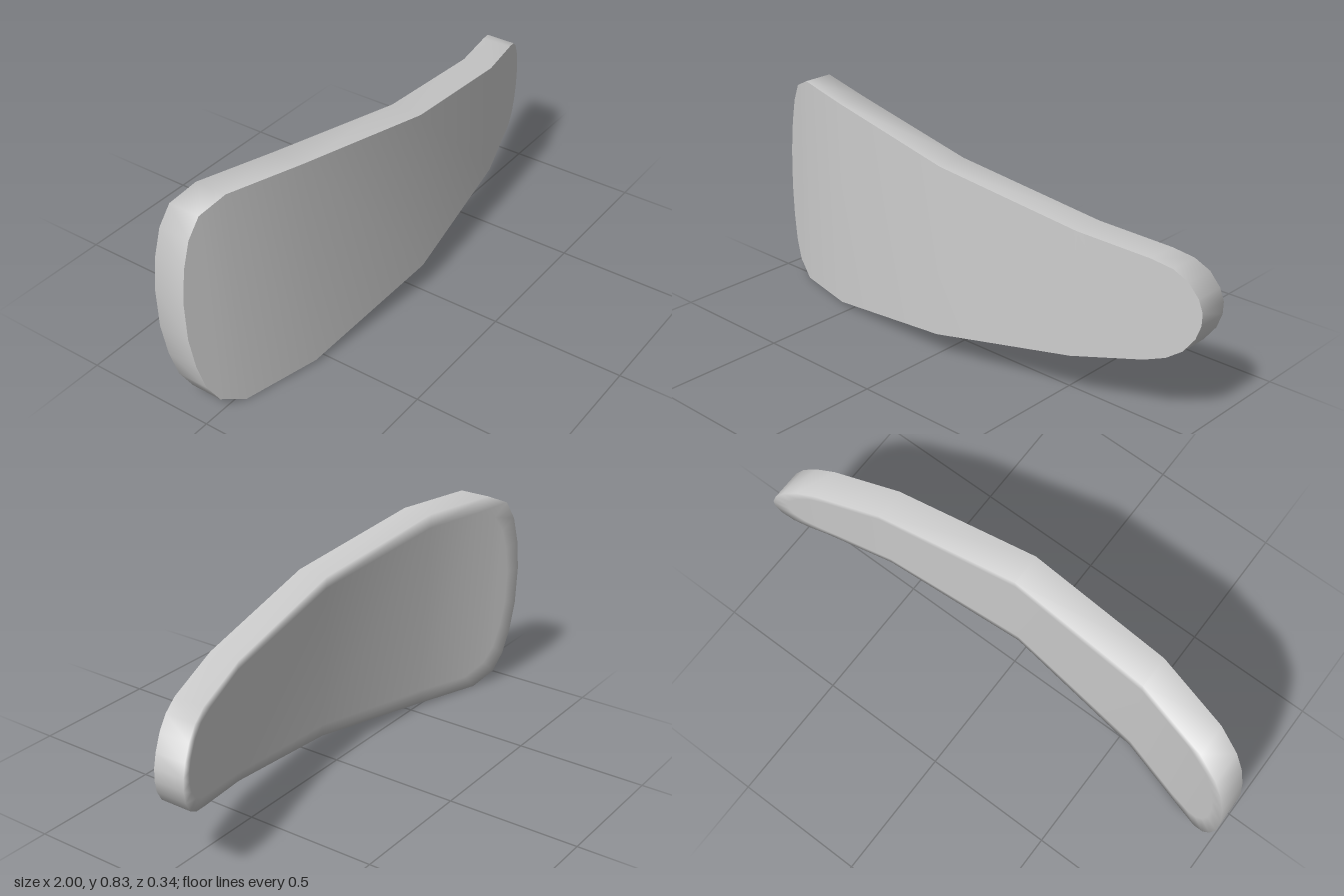
import * as THREE from 'three';

// Outline stations: x, top y, bottom y
const stations = [
  [-1, 0.49, 0.34], [-0.985, 0.61, 0.22], [-0.96, 0.71, 0.12], [-0.92, 0.784, 0.048],
  [-0.83, 0.827, 0.002], [-0.55, 0.818, 0.015], [0.02, 0.737, 0.098],
  [0.58, 0.642, 0.19], [0.83, 0.6, 0.24], [0.9, 0.577, 0.262], [0.95, 0.54, 0.295],
  [0.985, 0.487, 0.345], [1, 0.44, 0.395],
];
const n = stations.length;
const thickness = 0.12;

// Bend of the front face along x, at mid height
const bend = [[-1, -0.049], [-0.92, -0.018], [-0.83, 0.017], [-0.55, 0.097], [0.02, 0.159],
  [0.58, 0.097], [0.83, 0.029], [0.9, 0.004], [1, -0.035]];

function frontZ(x, y) {
  let i = 0;
  while (i < bend.length - 2 && x > bend[i + 1][0]) i++;
  const [x0, z0] = bend[i], [x1, z1] = bend[i + 1];
  return z0 + (z1 - z0) * (x - x0) / (x1 - x0) - 0.034 * (y - 0.415);
}

// Closed loop: along the top edge, then back along the bottom edge
function loop(depth, inset) {
  const point = (s, row) => {
    const mid = (s[1] + s[2]) / 2;
    const x = Math.abs(s[0]) > 0.7 ? s[0] - Math.sign(s[0]) * inset : s[0];
    const y = mid + (s[row] - mid) * (1 - inset * 2.8);
    return [x, y, frontZ(x, y) - depth];
  };
  return [...stations.map((s) => point(s, 1)), ...stations.map((s) => point(s, 2)).reverse()];
}

function build(loops, cap, flip) {
  const index = [], count = 2 * n;
  const quad = (a, b, c, d) => index.push(...(flip ? [a, c, b, a, d, c] : [a, b, c, a, c, d]));
  // Bands between successive loops
  for (let k = 0; k < loops.length - 1; k++) {
    for (let i = 0; i < count; i++) {
      const j = (i + 1) % count;
      quad(k * count + i, k * count + j, (k + 1) * count + j, (k + 1) * count + i);
    }
  }
  // Strips from top edge to bottom edge close the last loop
  const o = (loops.length - 1) * count;
  if (cap) for (let i = 0; i < n - 1; i++) quad(o + i, o + i + 1, o + count - 2 - i, o + count - 1 - i);
  const g = new THREE.BufferGeometry();
  g.setAttribute('position', new THREE.Float32BufferAttribute(loops.flat(2), 3));
  g.setIndex(index);
  g.computeVertexNormals();
  return g;
}

export function createModel() {
  const group = new THREE.Group();
  group.name = 'curvedPlate';
  const material = new THREE.MeshStandardMaterial({ color: 0xcccccc });

  // Front face, with a sharp rim
  const front = new THREE.Mesh(build([loop(0, 0)], true, true), material);
  front.name = 'frontFace';

  // Side wall blending softly into the back face
  const back = new THREE.Mesh(
    build([loop(0, 0), loop(thickness, 0), loop(thickness, 0.05)], true, false), material);
  back.name = 'wallAndBack';

  group.add(front, back);
  return group;
}
